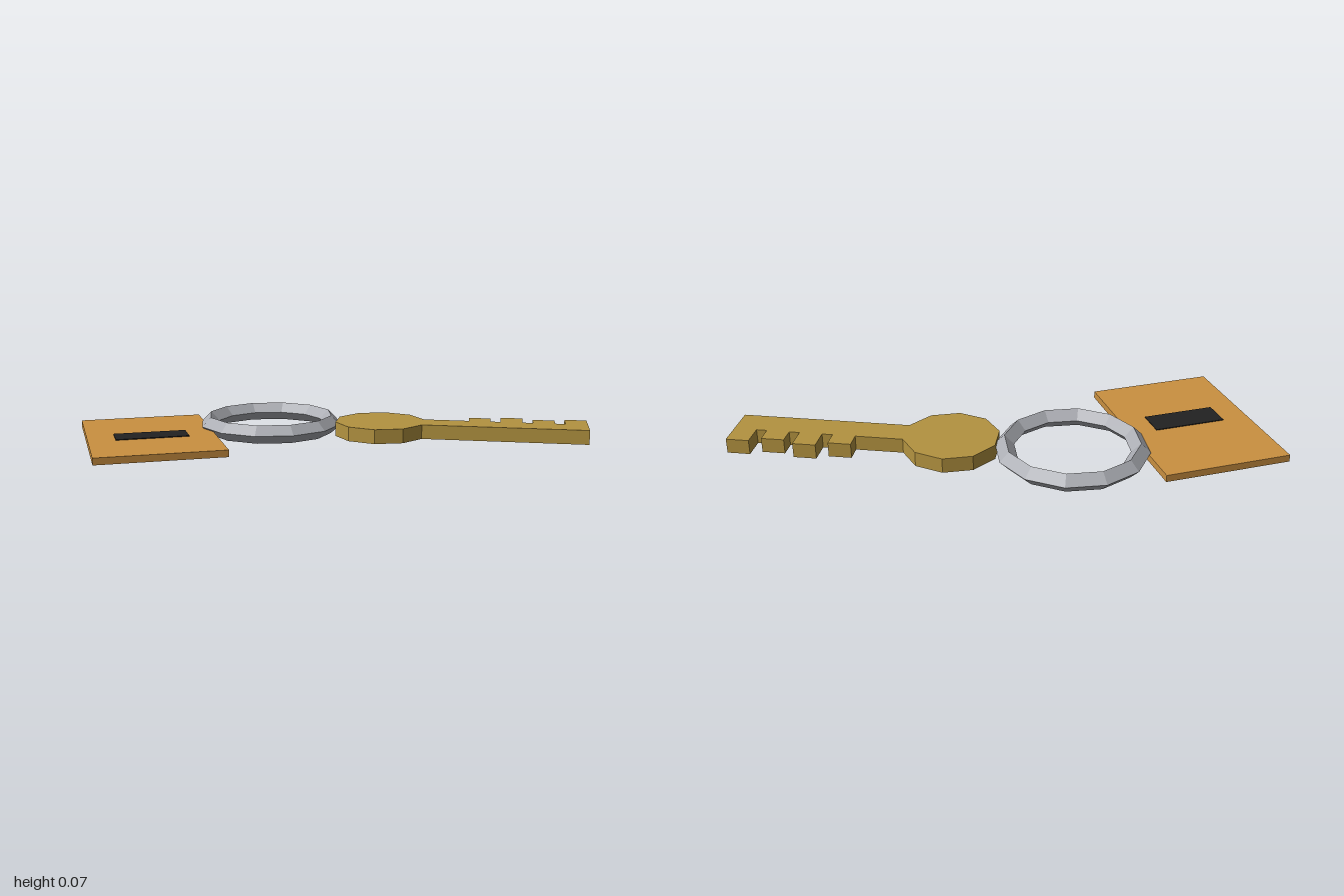
import * as THREE from 'three';

const mat = (name, color) => {
  const m = new THREE.MeshStandardMaterial({ color, flatShading: true });
  m.name = name;
  return m;
};

export function createModel() {
  const brass = mat('brass', 0xb39340);
  const steel = mat('steel', 0xacaeb4);
  const tan = mat('tan', 0xca9040);
  const black = mat('black', 0x222222);

  const model = new THREE.Group();
  model.name = 'keyring';
  const add = (parent, name, geometry, material, x = 0, y = 0, z = 0) => {
    const mesh = new THREE.Mesh(geometry, material);
    mesh.name = name;
    mesh.position.set(x, y, z);
    parent.add(mesh);
    return mesh;
  };

  // Split ring: twelve segments with a diamond section
  const ringGeo = new THREE.TorusGeometry(0.244, 0.035, 4, 12).rotateX(-Math.PI / 2);
  add(model, 'ring', ringGeo, steel, -0.232, 0.035, -0.202);

  // Key: ten-sided bow, shaft and four teeth in one outline, lying flat
  const headX = 0.205, headR = 0.176, half = headR * Math.sin(Math.PI / 10);
  const outline = [];
  for (let i = 0; i < 10; i++) {
    const a = Math.PI / 10 + (i * Math.PI) / 5;
    outline.push(new THREE.Vector2(headX + headR * Math.cos(a), headR * Math.sin(a)));
  }
  outline.push(new THREE.Vector2(1, -half));
  for (let i = 0; i < 4; i++) {
    const right = 1 - i * 0.123, left = right - 0.084;
    const tip = i % 2 ? 0.116 : 0.138;
    if (i > 0) outline.push(new THREE.Vector2(right, half));
    outline.push(new THREE.Vector2(right, tip), new THREE.Vector2(left, tip), new THREE.Vector2(left, half));
  }
  const keyGeo = new THREE.ExtrudeGeometry(new THREE.Shape(outline), { depth: 0.055, bevelEnabled: false });
  add(model, 'key', keyGeo.rotateX(-Math.PI / 2), brass, 0, 0, -0.202);

  // Tag with a dark label on both faces
  const tag = new THREE.Group();
  tag.name = 'tag';
  tag.position.set(-0.639, 0, 0.07);
  tag.rotation.y = THREE.MathUtils.degToRad(25);
  model.add(tag);
  add(tag, 'tagPlate', new THREE.BoxGeometry(0.476, 0.026, 0.684), tan, 0, 0.015, 0);
  const labelGeo = new THREE.BoxGeometry(0.273, 0.004, 0.108);
  add(tag, 'labelTop', labelGeo, black, 0, 0.029, 0.023);
  add(tag, 'labelBottom', labelGeo, black, 0, 0.002, 0.023);

  return model;
}
